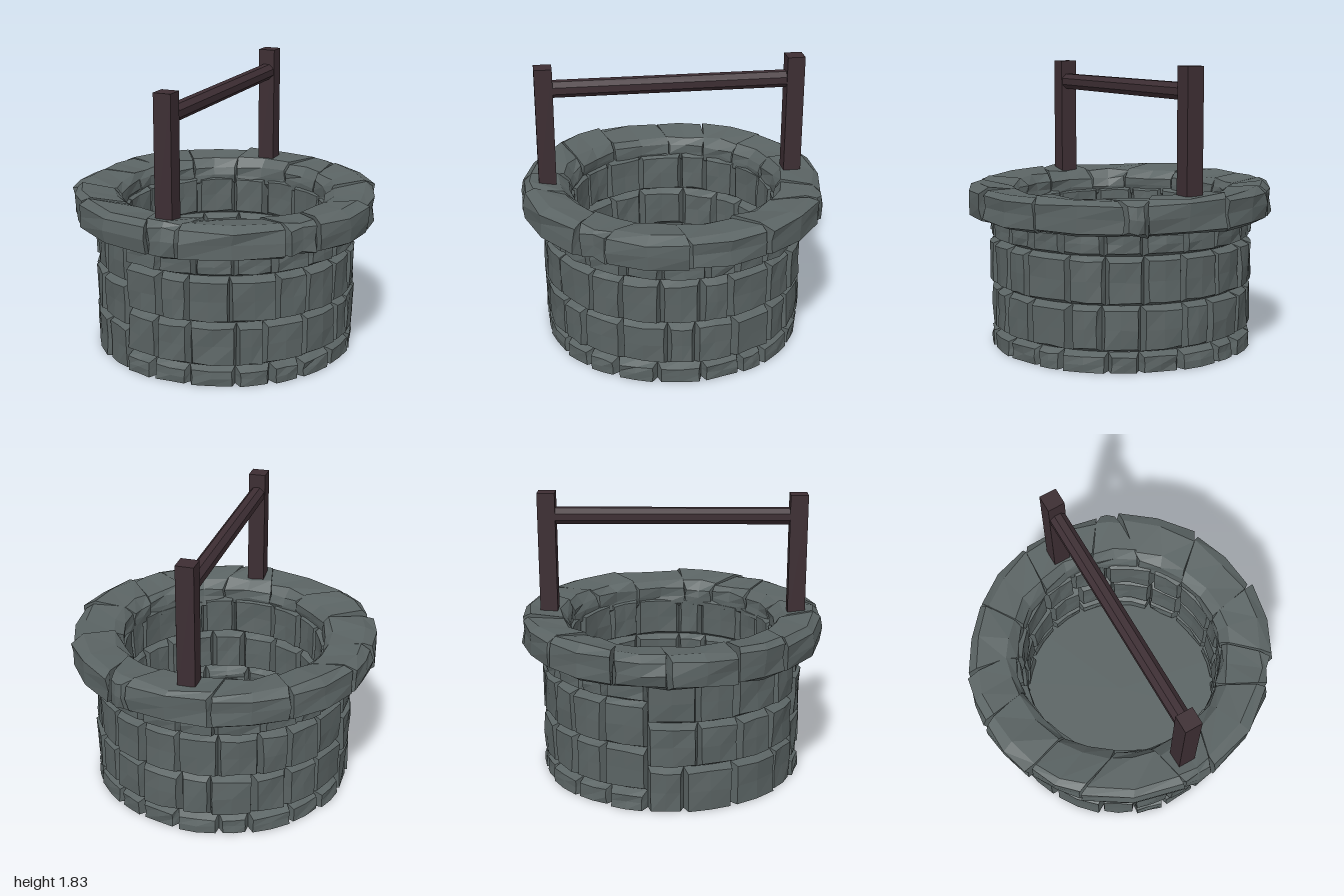
import * as THREE from 'three';

const stoneMat = new THREE.MeshStandardMaterial({ color: 0x5b6464, flatShading: true, side: THREE.DoubleSide });
const woodMat = new THREE.MeshStandardMaterial({ color: 0x3d2e33, flatShading: true });
const DEG = Math.PI / 180;
// box faces that can be left open
const BOTTOM = 3, OUTER = 4, INNER = 5;

// repeatable noise in -1..1
function noise(n) {
  const s = Math.sin(n * 127.1 + 11.7) * 43758.5453;
  return (s - Math.floor(s)) * 2 - 1;
}

// One curved block. sections run from the inside out: [radius, bottom, top, angular inset in degrees].
// A section without inset is a seam and stays exact so that neighbours meet.
function stone(name, a0, a1, sections, seed, { jitter, open = [], twist = 0 }) {
  const geo = new THREE.BoxGeometry(1, 1, 1, 2, 2, sections.length - 1);
  const index = Array.from(geo.index.array);
  geo.setIndex(geo.groups.filter(g => !open.includes(g.materialIndex))
    .flatMap(g => index.slice(g.start, g.start + g.count)));
  geo.clearGroups();
  const slant = a => twist * noise(Math.round(a + 360) % 360);
  const p = geo.attributes.position;
  for (let i = 0; i < p.count; i++) {
    const u = p.getX(i) + 0.5, v = p.getY(i) + 0.5;
    const k = Math.round((p.getZ(i) + 0.5) * (sections.length - 1));
    const [r, y0, y1, inset] = sections[k];
    const key = seed * 31 + Math.round(u * 2) + Math.round(v * 2) * 3 + k * 9;
    const j = inset === 0 ? 0 : jitter;
    const start = a0 + inset + slant(a0) * (r - 0.83), end = a1 - inset + slant(a1) * (r - 0.83);
    const a = (end + (start - end) * u + noise(key) * j * 30) * DEG;
    const rr = r + noise(key + 0.37) * j;
    const y = y0 + (y1 - y0) * v + (y0 === 0 && v < 0.1 ? 0 : noise(key + 0.71) * j * 0.7);
    p.setXYZ(i, Math.cos(a) * rr, y, Math.sin(a) * rr);
  }
  geo.computeVertexNormals();
  const mesh = new THREE.Mesh(geo, stoneMat);
  mesh.name = name;
  return mesh;
}

// An arc of blocks with uneven widths
function course(name, from, to, count, seed, make) {
  const group = new THREE.Group();
  group.name = name;
  const step = (to - from) / count;
  const full = to - from > 359;
  const edge = i => {
    const wobble = !full && (i === 0 || i === count) ? 0 : noise(seed + (i % count) * 1.3) * step * 0.2;
    return from + i * step + wobble;
  };
  for (let i = 0; i < count; i++) group.add(make(edge(i), edge(i + 1), seed + i * 7));
  return group;
}

// Outer facing: chamfered stones, hollow behind and open on the ground
function outerCourse(name, from, to, count, y0, y1, seed) {
  return course(name, from, to, count, seed, (a0, a1, s) => stone('wallStone', a0, a1, [
    [0.795, y0, y1, 0],
    [0.85 + noise(s) * 0.008, y0 === 0 ? 0 : y0 + 0.026, y1 - 0.026, 1.5 + noise(s + 3) * 0.6],
  ], s, { jitter: 0.008, open: y0 === 0 ? [BOTTOM, INNER] : [INNER] }));
}

// Inner facing of the shaft
function innerCourse(count, y0, y1, seed) {
  return course('innerCourse', 0, 360, count, seed, (a0, a1, s) => stone('shaftStone', a0, a1, [
    [0.65 + noise(s) * 0.008, y0 + 0.028, y1 - 0.028, 1.8 + noise(s + 3) * 0.6],
    [0.705, y0, y1, 0],
  ], s, { jitter: 0.008, open: [OUTER] }));
}

function post(name, height, z) {
  const mesh = new THREE.Mesh(new THREE.BoxGeometry(0.113, height, 0.113), woodMat);
  mesh.name = name;
  mesh.position.set(-0.007, 0.98 + height / 2, z);
  return mesh;
}

export function createModel() {
  const model = new THREE.Group();
  model.name = 'stoneWell';

  // Round wall: main courses, and a patch with shifted courses on the front right
  const wall = new THREE.Group();
  wall.name = 'wall';
  wall.position.set(0.01, 0, -0.008);
  const PATCH = [113, 190];
  [[0, 0.12], [0.12, 0.405], [0.405, 0.705], [0.705, 0.86]].forEach(([y0, y1], i) =>
    wall.add(outerCourse('wallCourse', PATCH[1] - 360, PATCH[0], 17, y0, y1, 10 + i * 211)));
  [[0, 0.28], [0.28, 0.57], [0.57, 0.86]].forEach(([y0, y1], i) =>
    wall.add(outerCourse('patchCourse', ...PATCH, 4, y0, y1, 900 + i * 57)));
  [[0.24, 0.36], [0.36, 0.645], [0.645, 0.93]].forEach(([y0, y1], i) =>
    wall.add(innerCourse(17, y0, y1, 2000 + i * 83)));

  // Floor of the shaft
  const floor = new THREE.Mesh(new THREE.CircleGeometry(0.71, 32), stoneMat);
  floor.name = 'floor';
  floor.rotation.x = -Math.PI / 2;
  floor.position.y = 0.255;
  wall.add(floor);
  model.add(wall);

  // Overhanging rim of rough slanted slabs
  const rim = course('rim', 0, 360, 14, 1500, (a0, a1, s) => {
    const out = 0.982 + noise(s) * 0.012, top = 1.058 + noise(s + 5) * 0.008;
    return stone('rimStone', a0, a1, [
      [0.67, 0.88, 0.99, 0.5],
      [0.73 + noise(s + 2) * 0.02, 0.845, top - 0.018, 0.1],
      [0.925, 0.845, top, 0.1],
      [out, 0.87, top - 0.03, 1 + noise(s + 9) * 0.6],
    ], s, { jitter: 0.015, twist: 40 });
  });
  rim.position.set(0.005, 0, -0.008);
  model.add(rim);

  // Posts and crossbar
  const frame = new THREE.Group();
  frame.name = 'frame';
  frame.add(post('frontPost', 0.84, 0.805), post('backPost', 0.85, -0.802));
  const bar = new THREE.Mesh(new THREE.CylinderGeometry(0.056, 0.056, 1.54, 8), woodMat);
  bar.name = 'crossbar';
  bar.rotation.set(Math.PI / 2, Math.PI / 8, 0);
  bar.position.set(-0.007, 1.677, 0);
  frame.add(bar);
  model.add(frame);
  return model;
}
